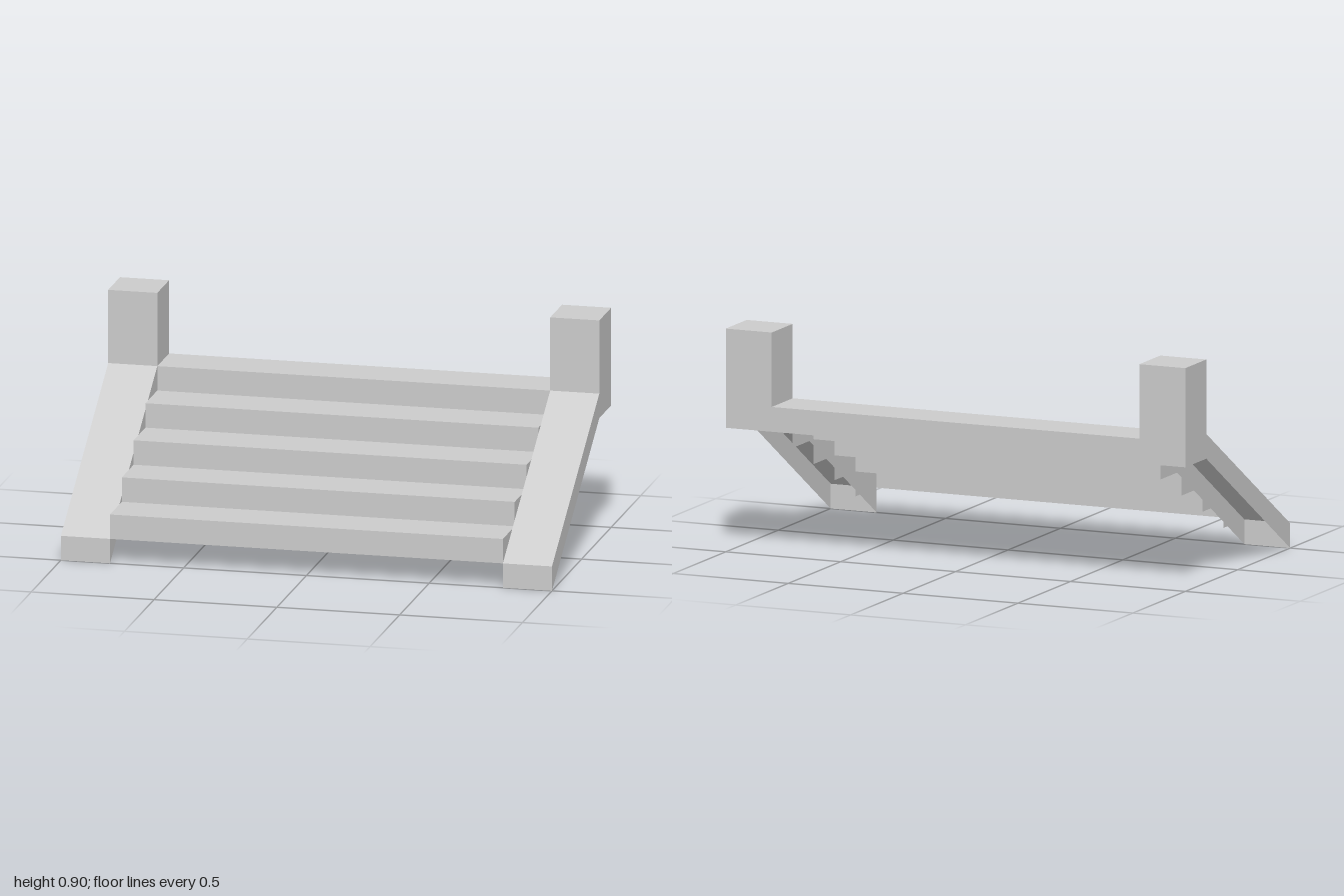
import * as THREE from 'three';

// Order of the faces in a box, six indices each
const FACES = ['left', 'right', 'top', 'bottom', 'front', 'back'];

// A box shell without the named faces
function openBox(width, height, depth, missing) {
  const geometry = new THREE.BoxGeometry(width, height, depth);
  const indices = Array.from(geometry.index.array);
  geometry.setIndex(indices.filter((_, i) => !missing.includes(FACES[Math.floor(i / 6)])));
  geometry.clearGroups();
  return geometry;
}

export function createModel() {
  const group = new THREE.Group();
  const material = new THREE.MeshStandardMaterial({
    color: 0xcccccc, flatShading: true, side: THREE.DoubleSide,
  });

  function add(name, geometry, x, y, z) {
    const mesh = new THREE.Mesh(geometry, material);
    mesh.name = name;
    mesh.position.set(x, y, z);
    group.add(mesh);
  }

  // Five hollow steps: riser, tread and ends; only the top one has a back
  for (let i = 0; i < 5; i++) {
    const missing = i < 4 ? ['bottom', 'back'] : ['bottom'];
    add('step' + (i + 1), openBox(1.6, 0.1, 0.2, missing), 0, 0.15 + 0.1 * i, 0.4 - 0.2 * i);
  }

  // Side rail, open underneath and where it meets the post, sheared to the slope
  const railGeometry = openBox(0.2, 0.1, 0.8, ['bottom', 'back']);
  const points = railGeometry.attributes.position;
  for (let i = 0; i < points.count; i++) {
    points.setY(i, points.getY(i) - 0.625 * points.getZ(i));
  }
  railGeometry.computeVertexNormals();

  // Square post, open underneath
  const postGeometry = openBox(0.2, 0.4, 0.2, ['bottom']);

  // A rail and a post on each side
  for (const [side, sign] of [['left', 1], ['right', -1]]) {
    add(side + 'Rail', railGeometry, 0.9 * sign, 0.3, 0.1);
    add(side + 'Post', postGeometry, 0.9 * sign, 0.7, -0.4);
  }

  return group;
}
